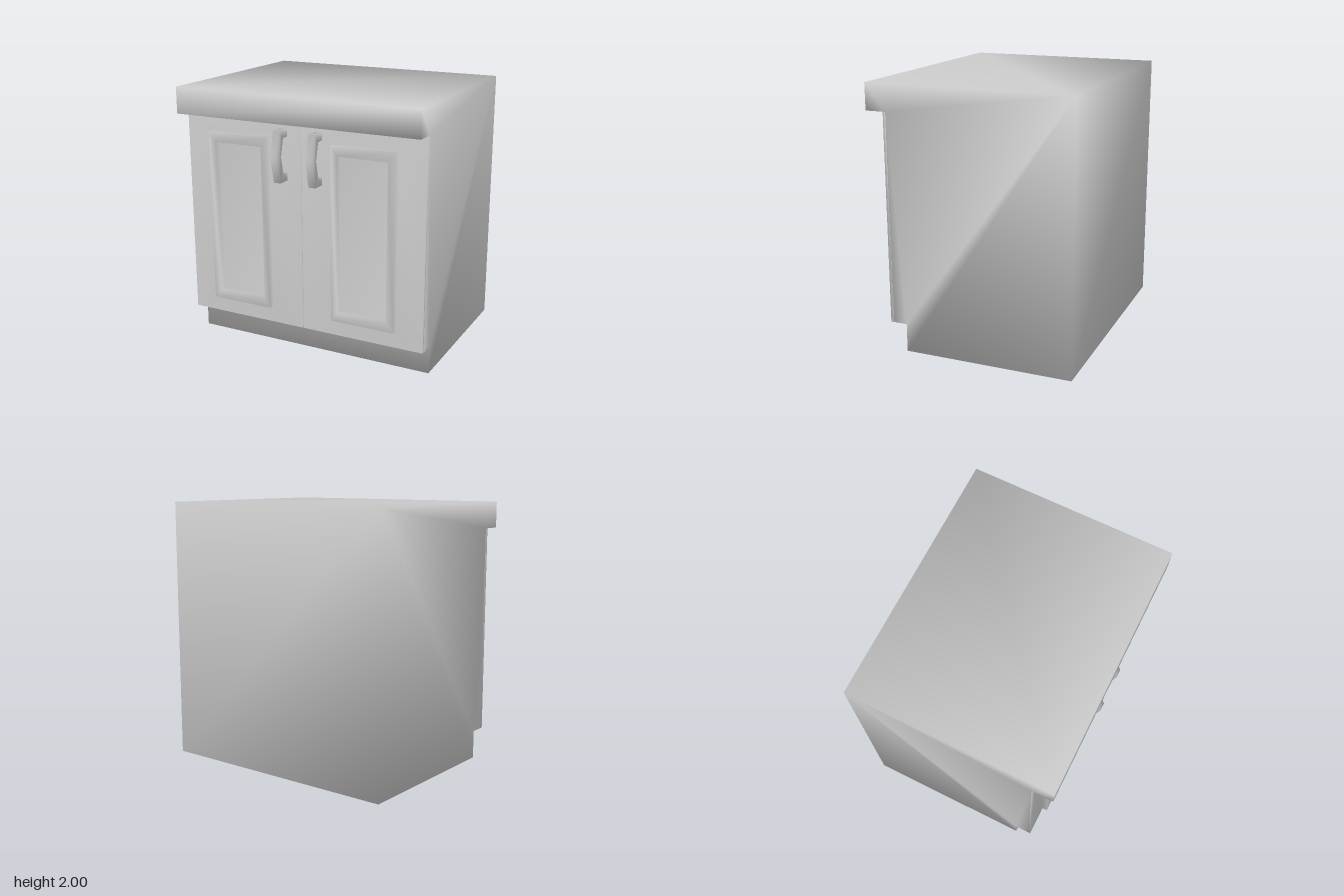
import * as THREE from 'three';
import { mergeVertices } from 'three/addons/utils/BufferGeometryUtils.js';

const material = new THREE.MeshStandardMaterial({ color: 0xcccccc });

// Weld shared corners so the shading rolls softly over every edge
function soften(geometry) {
  geometry.deleteAttribute('normal');
  geometry.deleteAttribute('uv');
  const welded = mergeVertices(geometry, 1e-4);
  welded.computeVertexNormals();
  return welded;
}

function part(name, geometry) {
  const mesh = new THREE.Mesh(geometry, material);
  mesh.name = name;
  return mesh;
}

// Extrude a side profile of [z, y] points across x, centred on x = 0
function sideProfile(points, width) {
  const shape = new THREE.Shape(points.map(([z, y]) => new THREE.Vector2(z, y)));
  const geometry = new THREE.ExtrudeGeometry(shape, { depth: width, bevelEnabled: false });
  geometry.translate(0, 0, -width / 2);
  geometry.rotateY(-Math.PI / 2);
  return soften(geometry);
}

// Join nested rectangles [x0, x1, y0, y1, z] into one stepped skin, capped at the last
function nestedRectangles(rings) {
  const positions = [];
  const indices = [];
  for (const [x0, x1, y0, y1, z] of rings) {
    positions.push(x0, y0, z, x1, y0, z, x1, y1, z, x0, y1, z);
  }
  for (let r = 0; r < rings.length - 1; r++) {
    for (let i = 0; i < 4; i++) {
      const a = r * 4 + i;
      const b = r * 4 + (i + 1) % 4;
      indices.push(a, b, b + 4, a, b + 4, a + 4);
    }
  }
  const last = (rings.length - 1) * 4;
  indices.push(last, last + 1, last + 2, last, last + 2, last + 3);
  const geometry = new THREE.BufferGeometry();
  geometry.setAttribute('position', new THREE.Float32BufferAttribute(positions, 3));
  geometry.setIndex(indices);
  geometry.computeVertexNormals();
  return geometry;
}

export function createModel() {
  const group = new THREE.Group();
  group.name = 'cabinet';

  // Carcass with recessed toe kick and overhanging countertop
  group.add(part('carcass', sideProfile([
    [-0.785, 0], [0.51, 0], [0.51, 0.215], [0.62, 0.215],
    [0.62, 1.8], [0.778, 1.8], [0.778, 2], [-0.785, 2],
  ], 1.94)));

  for (const side of [-1, 1]) {
    const label = side > 0 ? 'left' : 'right';
    const span = (a, b) => (side > 0 ? [a, b] : [-b, -a]);

    // Door: leaf, raised frame and sunken centre panel
    const leaf = [...span(0.003, 0.97), 0.215, 1.8];
    const frame = [...span(0.26, 0.76), 0.345, 1.67];
    const panel = [...span(0.31, 0.70), 0.417, 1.595];
    group.add(part(label + 'Door', nestedRectangles([
      [...leaf, 0.615], [...leaf, 0.64],
      [...frame, 0.64], [...frame, 0.687],
      [...panel, 0.687], [...panel, 0.64],
    ])));

    // Bowed handle with a foot at each end
    const handle = part(label + 'Handle', sideProfile([
      [0.635, 1.36], [0.743, 1.36], [0.785, 1.55], [0.743, 1.74],
      [0.635, 1.74], [0.635, 1.685], [0.695, 1.685], [0.727, 1.55],
      [0.695, 1.415], [0.635, 1.415],
    ], 0.054));
    handle.position.x = side * 0.142;
    group.add(handle);
  }
  return group;
}
